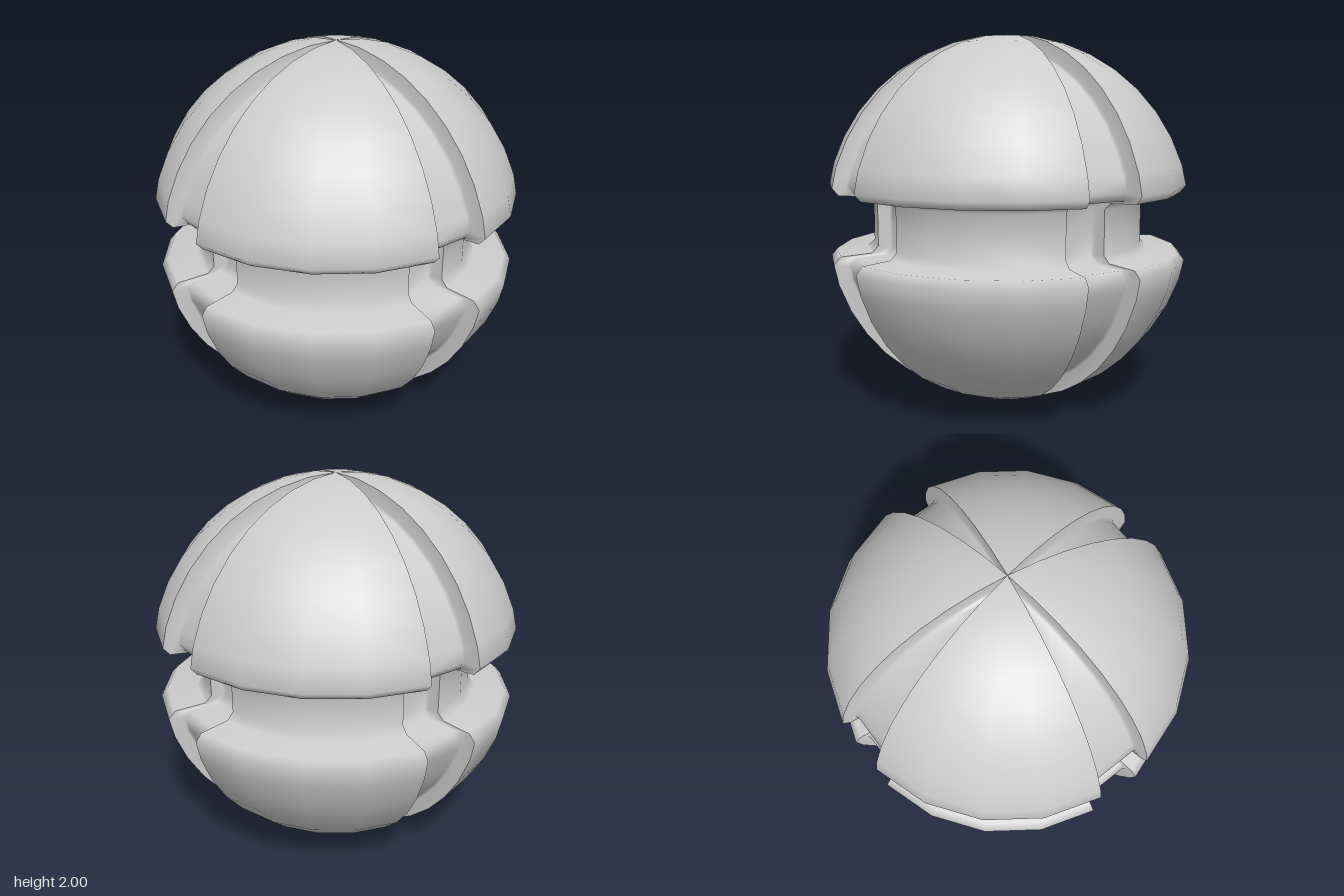
import * as THREE from 'three';

const DEG = Math.PI / 180;

// Full bottom-to-top profile: mirrored groove section followed by a dome arc.
function makeProfile(groove, radius) {
  const upper = groove.map(([r, y]) => new THREE.Vector2(r, y));
  for (let a = 18; a <= 90; a += 9) {
    const r = a === 90 ? 0 : radius * Math.cos(a * DEG);
    upper.push(new THREE.Vector2(r, radius * Math.sin(a * DEG)));
  }
  const lower = upper.slice(1).reverse().map(p => new THREE.Vector2(p.x, -p.y));
  return [...lower, ...upper].map(p => new THREE.Vector2(p.x, p.y + 1));
}

// Recessed channel: radial wall, soft corner, floor, soft corner, radial wall.
function makeChannel(outer, inner, start, end) {
  const pos = [], index = [], cols = 6;
  outer.forEach((o, j) => {
    const n = inner[j];
    const inset = Math.min((end - start) / 2, 0.014 / Math.max(n.x, 0.001));
    const nearFloor = o.clone().lerp(n, 0.85);
    const columns = [
      [o, start], [nearFloor, start], [n, start + inset],
      [n, end - inset], [nearFloor, end], [o, end],
    ];
    for (const [p, phi] of columns) {
      pos.push(p.x * Math.sin(phi), p.y, p.x * Math.cos(phi));
    }
    if (j === 0) return;
    for (let i = 0; i < cols - 1; i++) {
      const a = (j - 1) * cols + i, b = a + 1, c = b + cols, d = a + cols;
      index.push(a, b, c, a, c, d);
    }
  });
  const geo = new THREE.BufferGeometry();
  geo.setAttribute('position', new THREE.Float32BufferAttribute(pos, 3));
  geo.setIndex(index);
  geo.computeVertexNormals();
  return geo;
}

export function createModel() {
  const group = new THREE.Group();
  group.name = 'groovedBall';
  const material = new THREE.MeshStandardMaterial({ color: 0xcccccc, side: THREE.DoubleSide });

  // Raised shell and recessed channel share the same equatorial groove form
  const outer = makeProfile([[0.738, 0], [0.738, 0.115], [0.775, 0.15], [0.94, 0.16], [0.975, 0.2]], 1);
  const inner = makeProfile([[0.66, 0], [0.66, 0.122], [0.7, 0.16], [0.86, 0.17], [0.89, 0.21]], 0.915);

  const shellGeo = new THREE.LatheGeometry(outer, 4, 0, 72 * DEG);
  const channelGeo = makeChannel(outer, inner, 72 * DEG, 90 * DEG);

  // Four shell panels, each followed by a narrow channel
  for (let k = 0; k < 4; k++) {
    const shell = new THREE.Mesh(shellGeo, material);
    shell.name = `shellPanel${k + 1}`;
    const channel = new THREE.Mesh(channelGeo, material);
    channel.name = `channel${k + 1}`;
    shell.rotation.y = channel.rotation.y = k * 90 * DEG;
    group.add(shell, channel);
  }
  return group;
}
